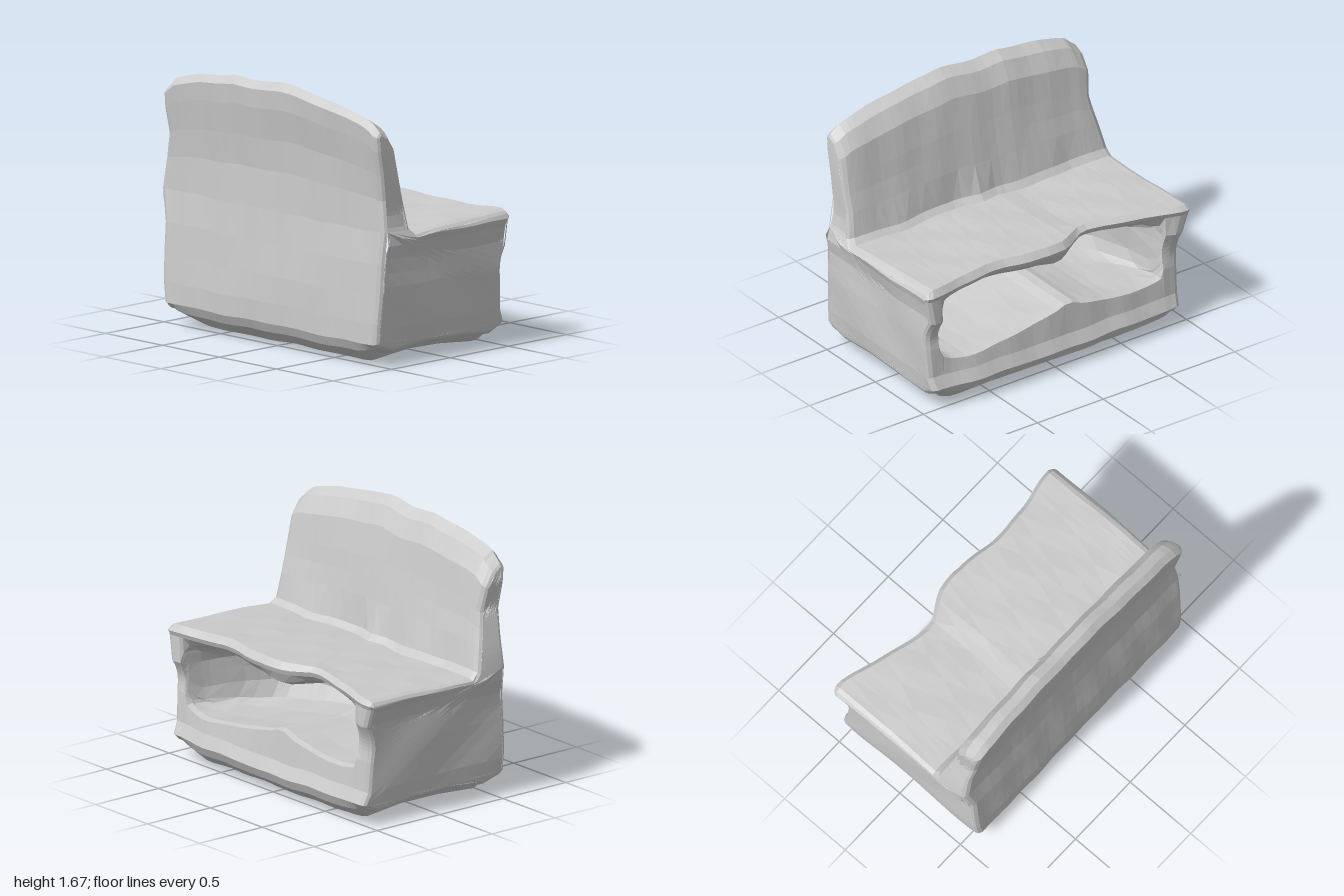
import * as THREE from 'three';

const { lerp, smoothstep } = THREE.MathUtils;

// Linear lookup in rows [key, value, value...] sorted by falling key
function lookup(rows, k, col = 1) {
  if (k >= rows[0][0]) return rows[0][col];
  for (let i = 1; i < rows.length; i++) {
    if (k >= rows[i][0]) {
      const t = (rows[i - 1][0] - k) / (rows[i - 1][0] - rows[i][0]);
      return lerp(rows[i - 1][col], rows[i][col], t);
    }
  }
  return rows[rows.length - 1][col];
}

// z, height of the backrest
const CREST = [[.98, 1.49], [.92, 1.53], [.7, 1.585], [.4, 1.64], [.1, 1.67], [-.15, 1.645],
  [-.32, 1.66], [-.6, 1.62], [-.9, 1.55], [-.98, 1.5]];
// z, x of the seat's worn front edge
const EDGE = [[.95, .53], [.85, .515], [.7, .485], [.5, .465], [.35, .47], [.2, .505], [.05, .515], [-.08, .5],
  [-.16, .46], [-.2, .43], [-.28, .385], [-.4, .41], [-.6, .46], [-.8, .52], [-.92, .55]];
// z, x of the crease between seat and backrest
const CREASE = [[.95, -.29], [.6, -.275], [.3, -.3], [.15, -.3], [0, -.265], [-.15, -.285], [-.4, -.27],
  [-.7, -.29], [-.95, -.285]];
// z, hollow's lower lip y, upper lip y, depth
const HOLLOW = [[.9, .42, .62, 0], [.89, .42, .62, 0], [.875, .4, .69, .05], [.84, .35, .735, .2],
  [.78, .325, .75, .42], [.7, .31, .755, .6], [.58, .31, .76, .74], [.4, .33, .755, .76], [.1, .38, .74, .76],
  [0, .4, .72, .76], [-.1, .44, .725, .74], [-.2, .4, .755, .76], [-.4, .35, .765, .76], [-.6, .34, .755, .72],
  [-.74, .34, .74, .48], [-.8, .36, .715, .15], [-.825, .42, .66, 0]];
// y, how far the ends reach
const REACH_LEFT = [[1.5, .95], [.95, .955], [.86, .97], [.8, 1], [.76, .985], [.66, .962], [.5, .965], [.2, .955], [0, .92]];
const REACH_RIGHT = [[1.5, .93], [1.4, .945], [1.2, .925], [.95, .975], [.8, 1], [.76, .98], [.66, .95], [.5, .945], [.2, .93], [0, .89]];

// Closed cross-section at one z, running bottom, front, hollow, seat, backrest, back
function section(z, inset) {
  const yB = lookup(HOLLOW, z, 1), yT = lookup(HOLLOW, z, 2), depth = lookup(HOLLOW, z, 3);
  const edge = lookup(EDGE, z), crease = lookup(CREASE, z), open = Math.min(1, depth / .1);
  const rise = (lookup(CREST, z) - .83) / .84;
  const foot = .07 * smoothstep(Math.abs(z), .7, .97);
  const base = .57 - .04 * smoothstep(z, .5, .95) - .015 * smoothstep(-z, .5, .95);
  const step = .015 * smoothstep(z, -.21, -.17);
  const pts = [[-.42, .008 + foot], [-.14, .035 + foot], [.15, .03 + foot], [.42, .008 + foot],
    [base - .03, .09 + foot * .4], [base, .15], [base - .035, .23]];
  // hollow: floor, back wall and ceiling, flattening into the front where the depth is nil
  const xB = base - .05, xT = edge - .035 * open, back = xB - depth;
  const inner = [[xB, yB], [xB - .04 * open, yB + .01], [xB - depth * .3, yB], [xB - depth * .65, yB],
    [back + .06 * open, yB + .02], [back, .44], [back + .02 * open, .54], [back + depth * .12, .61],
    [lerp(xT, back, .5), .68], [xT - .06 * open, yT - .025], [xT, yT]];
  inner.forEach(([x, y], i) => {
    const t = i / (inner.length - 1);
    const flat = lerp(xB, xT, t) - .025 * Math.sin(Math.PI * t);
    pts.push([lerp(flat, x, open), lerp(lerp(yB, yT, t), y, open)]);
  });
  pts.push([edge, .785], [edge + .012, .815], [edge - .02, .843 + step], [.28, .835 + step], [.1, .83 + step],
    [-.08, .82 + step], [crease + .02, .815 + step / 2]);
  for (const [x, y] of [[crease - .015, .86], [-.335, 1.05], [-.36, 1.18], [-.38, 1.3], [-.415, 1.5], [-.475, 1.62],
    [-.545, 1.67], [-.585, 1.62], [-.575, 1.5], [-.545, 1.3], [-.53, 1.1]]) pts.push([x, .83 + (y - .83) * rise]);
  pts.push([-.535, .85], [-.555, .65], [-.57, .45], [-.58, .28], [-.58, .15], [-.55, .09 + foot * .4]);
  // pull the outline inwards to round off the ends
  const n = pts.length;
  return pts.map(([x, y], j) => {
    const p = pts[(j + n - 1) % n], q = pts[(j + 1) % n];
    const dx = q[0] - p[0], dy = q[1] - p[1], l = Math.hypot(dx, dy) || 1;
    return [x - inset * dy / l, y + inset * dx / l];
  });
}

// Shape the ends and add a gentle hand-formed unevenness
function place(x, y, z0) {
  const reach = lookup(z0 > 0 ? REACH_LEFT : REACH_RIGHT, y);
  const z = z0 * lerp(1, reach, smoothstep(Math.abs(z0), .8, .95));
  return [
    x + .005 * Math.sin(9 * z + 7 * y) * Math.cos(5 * y - 13 * z),
    Math.max(0, y + .006 * Math.sin(11 * z + 6 * x) * Math.cos(8 * x + 4 * z)),
    z + .005 * Math.sin(8 * x + 9 * y),
  ];
}

// Split a flat triangle into smaller ones so the end wall can follow its curve
function split(a, b, c, level, out) {
  if (level === 0) { out.push(a, b, c); return; }
  const mid = (p, q) => [(p[0] + q[0]) / 2, (p[1] + q[1]) / 2];
  const ab = mid(a, b), bc = mid(b, c), ca = mid(c, a);
  for (const t of [[a, ab, ca], [ab, b, bc], [ca, bc, c], [ab, bc, ca]]) split(...t, level - 1, out);
}

function benchGeometry() {
  // Stations along the bench: rounded ends, close spacing at the hollow's side walls
  const stations = [[1, .03], [.99, .012], [.965, 0], [.92, 0], [.89, 0], [.875, 0], [.855, 0], [.84, 0], [.81, 0], [.78, 0]];
  for (let z = .74; z > -.73; z -= .062) stations.push([z, 0]);
  stations.push([-.77, 0], [-.8, 0], [-.815, 0], [-.825, 0], [-.87, 0], [-.92, 0], [-.965, 0], [-.99, .012], [-1, .03]);
  const rings = stations.map(([z, inset]) => section(z, inset));
  const n = rings[0].length, pos = [], index = [];
  rings.forEach((ring, i) => ring.forEach(([x, y]) => pos.push(...place(x, y, stations[i][0]))));
  for (let i = 0; i < rings.length - 1; i++) {
    for (let j = 0; j < n; j++) {
      const a = i * n + j, b = i * n + (j + 1) % n, c = a + n, d = b + n;
      if ((i + j) % 2) index.push(a, c, b, b, c, d);
      else index.push(a, c, d, a, d, b);
    }
  }
  // End walls
  for (const i of [0, rings.length - 1]) {
    const ring = rings[i], out = [];
    const contour = ring.map(([x, y]) => new THREE.Vector2(x, y));
    for (const [a, b, c] of THREE.ShapeUtils.triangulateShape(contour, [])) {
      if (i === 0) split(ring[a], ring[b], ring[c], 3, out);
      else split(ring[a], ring[c], ring[b], 3, out);
    }
    for (const [x, y] of out) {
      index.push(pos.length / 3);
      pos.push(...place(x, y, stations[i][0]));
    }
  }
  const g = new THREE.BufferGeometry();
  g.setAttribute('position', new THREE.Float32BufferAttribute(pos, 3));
  g.setIndex(index);
  g.computeVertexNormals();
  return g;
}

export function createModel() {
  const group = new THREE.Group();
  group.name = 'bench';

  // Seat, backrest and hollow base in one carved body
  const material = new THREE.MeshStandardMaterial({ color: 0xcccccc, flatShading: true });
  const body = new THREE.Mesh(benchGeometry(), material);
  body.name = 'benchBody';
  group.add(body);
  return group;
}
